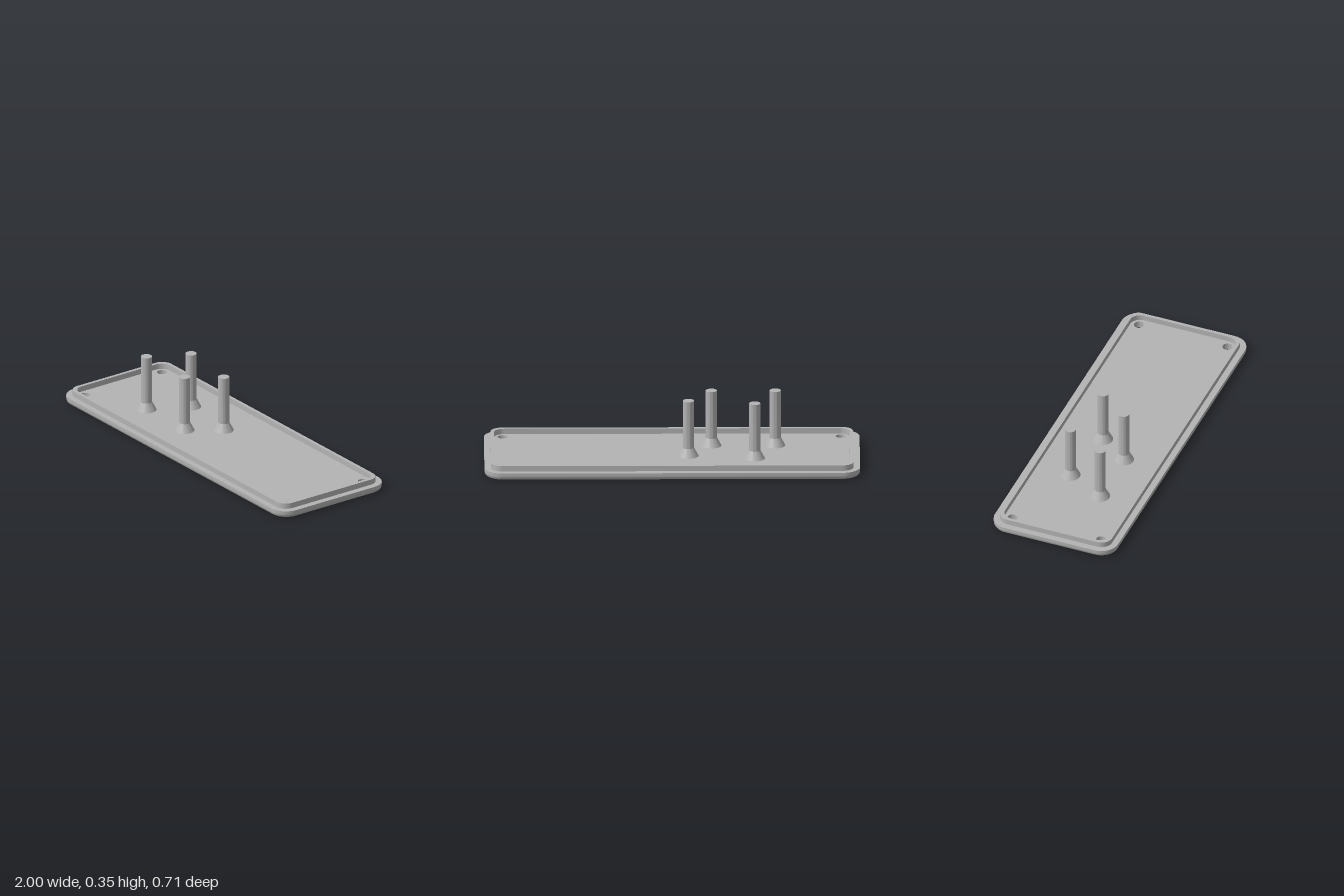
import * as THREE from 'three';
import { toCreasedNormals } from 'three/addons/utils/BufferGeometryUtils.js';

const HALF_W = 1, HALF_D = 0.353, CORNER = 0.095;
const FLOOR = 0.04, RIM_TOP = 0.07, FILLET = 0.022;
const HOLE_X = 0.9, HOLE_Z = 0.254, HOLE_R = 0.027;
const PEGS = [[-0.55, 0.107], [-0.21, 0.107], [-0.44, -0.107], [-0.087, -0.062]];

// counter-clockwise outline of a rounded rectangle
function outline(hw, hd, r, seg = 12) {
  const pts = [];
  [[1, 1], [-1, 1], [-1, -1], [1, -1]].forEach(([sx, sy], q) => {
    for (let i = 0; i <= seg; i++) {
      const a = (q + i / seg) * Math.PI / 2;
      pts.push(new THREE.Vector2(sx * (hw - r) + r * Math.cos(a), sy * (hd - r) + r * Math.sin(a)));
    }
  });
  return pts;
}

const inset = (d) => outline(HALF_W - d, HALF_D - d, CORNER - d);

const holeCentres = [];
for (const x of [-HOLE_X, HOLE_X]) for (const z of [-HOLE_Z, HOLE_Z]) holeCentres.push([x, z]);

// flat face with the four screw holes cut out
function drilledFace(points) {
  const shape = new THREE.Shape(points);
  for (const [x, z] of holeCentres) {
    shape.holes.push(new THREE.Path().absarc(x, z, HOLE_R, 0, Math.PI * 2, true));
  }
  return new THREE.ShapeGeometry(shape, 16);
}

// outer wall: a rounded lower edge rising into a straight side
function edgeGeometry() {
  const rings = [];
  for (let i = 0; i <= 6; i++) {
    const a = i / 6 * Math.PI / 2;
    rings.push([FILLET * (1 - Math.sin(a)), FILLET * (1 - Math.cos(a))]);
  }
  rings.push([0, FLOOR]);
  const pos = [], idx = [];
  for (const [d, y] of rings) for (const p of inset(d)) pos.push(p.x, y, -p.y);
  const n = pos.length / 3 / rings.length;
  for (let k = 0; k < rings.length - 1; k++) {
    for (let i = 0; i < n; i++) {
      const j = (i + 1) % n, a = k * n + i, b = k * n + j;
      idx.push(a, b, b + n, a, b + n, a + n);
    }
  }
  const g = new THREE.BufferGeometry();
  g.setAttribute('position', new THREE.Float32BufferAttribute(pos, 3));
  g.setIndex(idx);
  return toCreasedNormals(g, 0.6);
}

export function createModel() {
  const model = new THREE.Group();
  const grey = new THREE.MeshStandardMaterial({ color: 0xb3b3b3 });
  grey.name = 'grey plastic';
  const inner = new THREE.MeshStandardMaterial({ color: 0xb3b3b3, side: THREE.DoubleSide });
  inner.name = 'grey plastic bore';

  const add = (name, geometry, material = grey) => {
    const mesh = new THREE.Mesh(geometry, material);
    mesh.name = name;
    model.add(mesh);
    return mesh;
  };

  // base plate
  add('plateEdge', edgeGeometry());
  add('plateTop', drilledFace(inset(0)).rotateX(-Math.PI / 2).translate(0, FLOOR, 0));
  add('plateBottom', drilledFace(inset(FILLET)).rotateX(Math.PI / 2));

  // screw hole walls
  for (const [x, z] of holeCentres) {
    const bore = new THREE.CylinderGeometry(HOLE_R, HOLE_R, FLOOR, 32, 1, true);
    add('screwHole', bore, inner).position.set(x, FLOOR / 2, z);
  }

  // raised locating rim
  const rimShape = new THREE.Shape(outline(0.965, 0.319, 0.06));
  rimShape.holes.push(new THREE.Path(outline(0.946, 0.3, 0.055).reverse()));
  const rim = new THREE.ExtrudeGeometry(rimShape, { depth: RIM_TOP - FLOOR, bevelEnabled: false });
  add('rim', toCreasedNormals(rim.rotateX(-Math.PI / 2).translate(0, FLOOR, 0), 0.6));

  // support pegs with flared feet
  const profile = [[0.054, FLOOR], [0.03, 0.086], [0.03, 0.349], [0, 0.349]]
    .map(([r, y]) => new THREE.Vector2(r, y));
  const pegGeometry = toCreasedNormals(new THREE.LatheGeometry(profile, 32), 0.4);
  for (const [x, z] of PEGS) add('peg', pegGeometry).position.set(x, 0, z);

  return model;
}
